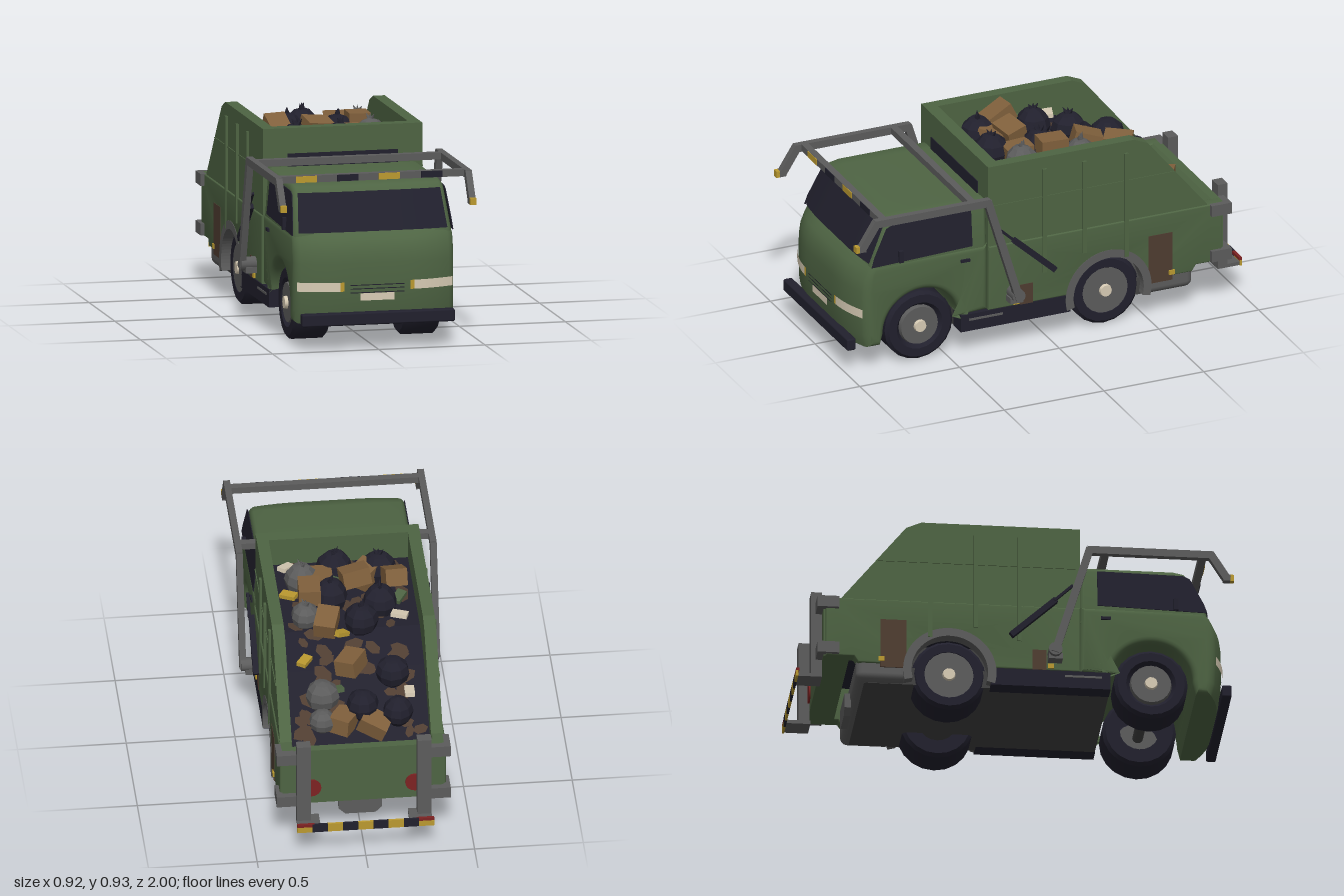
import * as THREE from 'three';
import { toCreasedNormals } from 'three/addons/utils/BufferGeometryUtils.js';
import { RoundedBoxGeometry } from 'three/addons/geometries/RoundedBoxGeometry.js';

const paint = (name, color, side = THREE.FrontSide) => {
  const m = new THREE.MeshStandardMaterial({ color, side });
  m.name = name;
  return m;
};

export function createModel() {
  const green = paint('bodyGreen', 0x4e6443, THREE.DoubleSide);
  const dark = paint('darkRubberAndGlass', 0x21202d, THREE.DoubleSide);
  const under = paint('underbody', 0x414141);
  const grey = paint('steelGrey', 0x5c5c5c);
  const cream = paint('cream', 0xd8ccb5, THREE.DoubleSide);
  const yellow = paint('warningYellow', 0xbb9a30);
  const card = paint('cardboard', 0x80603c);
  const rust = paint('rust', 0x4f3d31);
  const red = paint('lampRed', 0x7d2222);

  const truck = new THREE.Group();
  truck.name = 'garbageTruck';
  const add = (name, geo, mat, parent = truck) => {
    const m = new THREE.Mesh(geo, mat);
    m.name = name;
    parent.add(m);
    return m;
  };
  // box given by its limits
  const box = (name, mat, x0, x1, y0, y1, z0, z1) => add(name,
    new THREE.BoxGeometry(Math.abs(x1 - x0), y1 - y0, Math.abs(z1 - z0))
      .translate((x0 + x1) / 2, (y0 + y1) / 2, (z0 + z1) / 2), mat);
  const both = (f) => [1, -1].forEach(f);
  // (z, y) outline extruded across x
  const outline = (pts) => new THREE.Shape(pts.map((p) => new THREE.Vector2(p[0], p[1])));
  const prism = (shape, width, x, bevel = 0, steps = 1) => new THREE.ExtrudeGeometry(shape, {
    depth: width - 2 * bevel, steps, curveSegments: 20, bevelEnabled: bevel > 0,
    bevelThickness: bevel, bevelSize: bevel, bevelOffset: -bevel, bevelSegments: 4,
  }).translate(0, 0, bevel - width / 2).rotateY(-Math.PI / 2).translate(x, 0, 0);
  const warp = (geo, rule) => {
    const p = geo.attributes.position, v = new THREE.Vector3();
    for (let i = 0; i < p.count; i++) {
      rule(v.fromBufferAttribute(p, i));
      p.setXYZ(i, v.x, v.y, v.z);
    }
    geo.computeVertexNormals();
    return geo;
  };

  // cab: nose bowed back toward the corners, windshield a little less
  const bow = (v, amount, start) => {
    const k = Math.max(0, Math.abs(v.x) - 0.15) / 0.225;
    v.z -= amount * k * k * THREE.MathUtils.clamp((v.z - start) / 0.1, 0, 1);
  };
  const bowNose = (v) => bow(v, 0.055, 0.84);
  const bowGlass = (v) => bow(v, 0.02, 0.69);
  const lower = new THREE.Shape();
  lower.moveTo(0.3, 0.2);
  lower.lineTo(0.442, 0.2);
  lower.absarc(0.63, 0.175, 0.191, Math.PI - 0.13, 0, true);
  [[0.835, 0.12], [0.95, 0.12], [0.966, 0.18], [0.97, 0.3], [0.968, 0.4], [0.96, 0.455], [0.937, 0.505], [0.9, 0.535], [0.3, 0.535]]
    .forEach((p) => lower.lineTo(p[0], p[1]));
  add('cabBody', toCreasedNormals(warp(prism(lower, 0.756, 0, 0.03, 12), bowNose), 0.6), green);
  const taper = (y) => 1 - 0.25 * Math.max(0, y - 0.52);
  const upper = outline([[0.3, 0.45], [0.9, 0.45], [0.9, 0.53], [0.817, 0.712], [0.795, 0.732], [0.74, 0.742], [0.3, 0.742]]);
  add('cabRoof', toCreasedNormals(warp(prism(upper, 0.75, 0, 0.025, 12), (v) => {
    bowGlass(v);
    v.x *= taper(v.y);
  }), 0.6), green);

  // thin plates hugging the nose
  const frontPatch = (name, mat, x0, x1, y0, y1, zAt, bend) => add(name,
    warp(new THREE.PlaneGeometry(x1 - x0, y1 - y0, 12, 4).translate((x0 + x1) / 2, (y0 + y1) / 2, 0), (v) => {
      v.z = zAt(v.y);
      bend(v);
      v.z += 0.006;
      v.x *= taper(v.y);
    }), mat);
  const nose = () => 0.97;
  frontPatch('windshield', dark, -0.352, 0.352, 0.536, 0.71, (y) => 0.9 - (y - 0.53) * 0.456, bowGlass);
  both((s) => {
    const span = (a, b) => (s > 0 ? [a, b] : [-b, -a]);
    frontPatch('headlight', cream, ...span(0.174, 0.366), 0.273, 0.315, nose, bowNose);
    frontPatch('turnSignal', yellow, ...span(0.156, 0.174), 0.273, 0.315, nose, bowNose);
  });
  [0.265, 0.283, 0.3].forEach((y) => frontPatch('grilleSlot', dark, -0.128, 0.128, y - 0.002, y + 0.002, nose, bowNose));
  frontPatch('numberPlate', cream, -0.08, 0.08, 0.228, 0.262, nose, bowNose);
  add('frontBumper', new RoundedBoxGeometry(0.72, 0.058, 0.045, 2, 0.008).translate(0, 0.147, 0.9775), dark);
  const pane = outline([[0.38, 0.54], [0.885, 0.525], [0.87, 0.57], [0.805, 0.7], [0.775, 0.714], [0.38, 0.72]]);
  both((s) => {
    add('sideWindow', warp(prism(pane, 0.004, 0), (v) => { v.x += s * (0.375 * taper(v.y) + 0.003); }), dark);
    box('doorHandle', dark, s * 0.375, s * 0.387, 0.468, 0.482, 0.395, 0.44);
    box('mirror', dark, s * 0.365, s * 0.392, 0.53, 0.587, 0.73, 0.752);
  });

  // hopper walls
  const lowWall = new THREE.Shape();
  lowWall.moveTo(0.3, 0.2);
  lowWall.lineTo(-0.1, 0.2);
  lowWall.absarc(-0.3, 0.175, 0.2, 0.12, Math.PI - 0.12, false);
  [[-0.72, 0.2], [-0.74, 0.23], [-0.87, 0.23], [-0.87, 0.52], [0.3, 0.52]].forEach((p) => lowWall.lineTo(p[0], p[1]));
  const highWall = outline([[0.3, 0.5], [0.3, 0.92], [-0.43, 0.92], [-0.5, 0.89], [-0.8, 0.52], [-0.8, 0.5]]);
  const fender = new THREE.Shape();
  fender.absarc(-0.3, 0.175, 0.215, -0.25, Math.PI + 0.25, false);
  fender.absarc(-0.3, 0.175, 0.176, Math.PI + 0.25, -0.25, true);
  both((s) => {
    add('lowerSide', toCreasedNormals(prism(lowWall, 0.062, s * 0.351, 0.008), 0.5), green);
    add('upperSide', prism(highWall, 0.055, s * 0.3475), green);
    add('rearFender', prism(fender, 0.06, s * 0.354), grey);
    [0.02, -0.18, -0.39].forEach((z) => box('sideRib', green, s * 0.37, s * 0.387, z < -0.1 && z > -0.3 ? 0.4 : 0.34, 0.862, z - 0.01, z + 0.01));
    box('sideSeam', green, s * 0.37, s * 0.379, 0.717, 0.723, -0.63, 0.3);
    box('rustPatch', rust, s * 0.378, s * 0.384, 0.2, 0.3, 0.08, 0.145);
    box('rustPatch', rust, s * 0.378, s * 0.384, 0.18, 0.42, -0.62, -0.5);
    [0.165, -0.615].forEach((z) => box('sideMarker', yellow, s * 0.375, s * 0.39, 0.208, 0.23, z - 0.014, z + 0.014));
    box('chassisRail', dark, s * 0.3, s * 0.382, 0.116, 0.2, -0.11, 0.44);
    box('step', grey, s * 0.37, s * 0.386, 0.168, 0.178, 0.23, 0.4);
  });
  box('hopperFront', green, -0.32, 0.32, 0.2, 0.92, 0.24, 0.3);
  box('cabVent', dark, -0.26, 0.26, 0.735, 0.802, 0.298, 0.304);
  add('tailgate', prism(outline([[-0.88, 0.23], [-0.88, 0.52], [-0.84, 0.52], [-0.76, 0.44], [-0.76, 0.23]]), 0.74, 0), green);
  box('underPlate', under, -0.34, 0.34, 0.116, 0.2, -0.69, 0.438);
  box('wheelWell', under, -0.165, 0.165, 0.2, 0.39, -0.52, -0.08);
  add('rearSkirt', new RoundedBoxGeometry(0.75, 0.12, 0.24, 3, 0.035).translate(0, 0.178, -0.61), grey);
  const tow = outline([[-0.1, 0.17], [-0.1, 0.1], [-0.07, 0.07], [0.07, 0.07], [0.1, 0.1], [0.1, 0.17]]);
  add('towPlate', new THREE.ExtrudeGeometry(tow, { depth: 0.03, bevelEnabled: false }).translate(0, 0, -0.755), grey);

  // wheels
  const tyre = [[0.09, -0.085], [0.155, -0.085], [0.17, -0.07], [0.17, 0.07], [0.155, 0.085], [0.115, 0.085], [0.095, 0.06]];
  const tyreGeo = toCreasedNormals(new THREE.LatheGeometry(tyre.map((p) => new THREE.Vector2(...p)), 20), 0.5);
  [0.63, -0.3].forEach((z, rear) => {
    both((s) => {
      const wheel = new THREE.Group();
      wheel.name = 'wheel';
      wheel.position.set(s * 0.26, 0.172, z);
      wheel.rotation.z = -s * Math.PI / 2;
      truck.add(wheel);
      add('tyre', tyreGeo, dark, wheel);
      add('rim', new THREE.CylinderGeometry(rear ? 0.116 : 0.092, 0.1, 0.03, 20).translate(0, 0.068, 0), grey, wheel);
      add('hubCap', new THREE.CylinderGeometry(0.028, 0.032, 0.02, 10).translate(0, 0.088, 0), cream, wheel);
    });
    add('axle', new THREE.CylinderGeometry(0.025, 0.025, 0.5, 10).rotateZ(Math.PI / 2).translate(0, 0.172, z), under);
  });

  // lifting arms over the cab
  const beam = (name, mat, x, a, b, thick, wide) => {
    const dz = b[0] - a[0], dy = b[1] - a[1];
    add(name, new THREE.BoxGeometry(wide, thick, Math.hypot(dz, dy) + thick * 0.5)
      .rotateX(-Math.atan2(dy, dz)).translate(x, (a[1] + b[1]) / 2, (a[0] + b[0]) / 2), mat);
  };
  const armPath = [[0.18, 0.27], [0.335, 0.782], [0.895, 0.782], [0.965, 0.672]];
  both((s) => {
    for (let i = 0; i < 3; i++) beam('liftArm', grey, s * 0.446, armPath[i], armPath[i + 1], 0.036, 0.03);
    box('armTip', grey, s * 0.431, s * 0.461, 0.655, 0.686, 0.95, 0.982);
    box('armTipYellow', yellow, s * 0.431, s * 0.461, 0.655, 0.686, 0.982, 1);
    add('armPivot', new THREE.CylinderGeometry(0.032, 0.032, 0.08, 12).rotateZ(Math.PI / 2).translate(s * 0.415, 0.278, 0.18), grey);
    box('pivotBracket', grey, s * 0.37, s * 0.435, 0.237, 0.265, 0.15, 0.215);
    beam('hydraulicCylinder', dark, s * 0.405, [-0.015, 0.362], [0.18, 0.54], 0.027, 0.026);
    beam('hydraulicRod', dark, s * 0.415, [0.18, 0.54], [0.26, 0.615], 0.012, 0.014);
  });
  [0.41, 0.857].forEach((z) => box('armCrossbar', grey, -0.45, 0.45, 0.768, 0.8, z - 0.017, z + 0.017));
  [-0.31, -0.115, 0.08, 0.28].forEach((x, i) =>
    box('crossbarBand', i % 2 ? dark : yellow, x - 0.05, x + 0.05, 0.769, 0.799, 0.873, 0.877));

  // rear lift posts, brackets, lamps and striped bar
  both((s) => {
    box('rearPost', grey, s * 0.245, s * 0.31, 0.15, 0.575, -0.93, -0.88);
    [0.235, 0.465].forEach((y) => {
      box('postBracket', grey, s * 0.305, s * 0.4, y, y + 0.055, -0.91, -0.87);
      box('postBracketSide', grey, s * 0.372, s * 0.4, y, y + 0.055, -0.87, -0.81);
    });
    box('barSupport', grey, s * 0.205, s * 0.31, 0.15, 0.167, -0.992, -0.88);
    add('tailLamp', new THREE.CylinderGeometry(0.045, 0.045, 0.008, 16).rotateX(Math.PI / 2).translate(s * 0.238, 0.315, -0.884), red);
    box('barEndLamp', red, s * 0.235, s * 0.315, 0.176, 0.19, -0.999, -0.985);
  });
  for (let i = 0; i < 9; i++) {
    const x = -0.315 + i * 0.07;
    box('warningStripe', i % 2 ? dark : yellow, x, x + 0.07, 0.148, i % 8 ? 0.19 : 0.176, -1, -0.99);
  }

  // rubbish load
  let seed = 7;
  const rnd = () => (seed = (seed * 16807) % 2147483647) / 2147483647;
  const bedY = (z) => (z > -0.3 ? 0.78 : z > -0.5 ? 0.78 + (z + 0.3) * 0.4 : 0.7 + (z + 0.5) * 0.89);
  const bedTilt = (z) => (z > -0.3 ? 0 : Math.atan(z > -0.5 ? 0.4 : 0.89));
  add('rubbishBed', prism(outline([[0.24, 0.39], [0.24, 0.78], [-0.3, 0.78], [-0.5, 0.7], [-0.77, 0.46], [-0.77, 0.39]]), 0.64, 0), dark);
  const bag = (x, z, r, mat) => {
    const g = new THREE.Group();
    g.name = 'rubbishBag';
    g.position.set(x, bedY(z) + (z < -0.3 ? 0.035 : 0.045), z);
    g.rotation.y = rnd() * 6;
    truck.add(g);
    const a = rnd() * 6;
    add('sack', toCreasedNormals(warp(new THREE.SphereGeometry(r, 9, 6), (v) => {
      v.multiplyScalar(1 + 0.06 * Math.sin(v.x * 40 + a) * Math.cos(v.z * 35));
    }), 0.3), mat, g);
    if (z < -0.5) return;
    for (let i = 0; i < 3; i++) {
      add('knot', new THREE.ConeGeometry(0.013, 0.035, 4).rotateZ((i - 1) * 0.6).translate((1 - i) * 0.015, r + 0.008, 0), mat, g);
    }
  };
  [[-0.18, -0.68], [-0.02, -0.65], [-0.17, -0.54], [-0.05, -0.29], [-0.15, -0.16], [0.07, -0.09], [-0.17, 0.11], [0.03, 0.13]]
    .forEach(([x, z]) => bag(x, z, 0.072 + rnd() * 0.014, dark));
  [[0.17, -0.7, 0.06], [0.16, -0.61, 0.078], [0.2, -0.24, 0.066], [0.19, 0.05, 0.08]].forEach(([x, z, r]) => bag(x, z, r, grey));
  const scrap = (name, mat, x, z, w, h, d, lift) => {
    const m = add(name, new THREE.BoxGeometry(w, h, d), mat);
    m.position.set(x, bedY(z) + lift, z);
    m.rotation.set((rnd() - 0.5) * 0.7, rnd() * 3, (rnd() - 0.5) * 0.7);
  };
  [[0.02, -0.51, 0.05], [0.11, -0.31, 0.06], [-0.23, -0.02, 0.085], [-0.05, 0, 0.085], [0.17, -0.11, 0.09], [-0.07, -0.71, 0.02],
    [0.07, -0.7, 0.03], [0.1, 0.03, 0.05], [-0.1, 0.06, 0.05]]
    .forEach(([x, z, lift]) => scrap('cardboardBox', card, x, z, 0.13, 0.08, 0.1, lift));
  [[yellow, 0.23, -0.49], [yellow, 0.05, -0.36], [yellow, 0.26, -0.07], [cream, -0.24, -0.62], [cream, -0.23, -0.27],
    [cream, 0.25, 0.15], [green, -0.24, -0.13], [green, 0.05, 0.04], [green, 0.1, -0.6]]
    .forEach(([m, x, z]) => scrap('litter', m, x, z, 0.075, 0.02, 0.045, 0.045));
  // brown stains on the load
  for (let i = 0; i < 60; i++) {
    const z = -0.74 + 0.95 * rnd();
    add('stain', new THREE.CircleGeometry(0.022 + rnd() * 0.016, 6).scale(1.4, 0.9, 1).rotateZ(rnd() * 3)
      .rotateX(-Math.PI / 2 - bedTilt(z)).translate((rnd() - 0.5) * 0.56, bedY(z) + 0.006, z), rust);
  }
  return truck;
}
